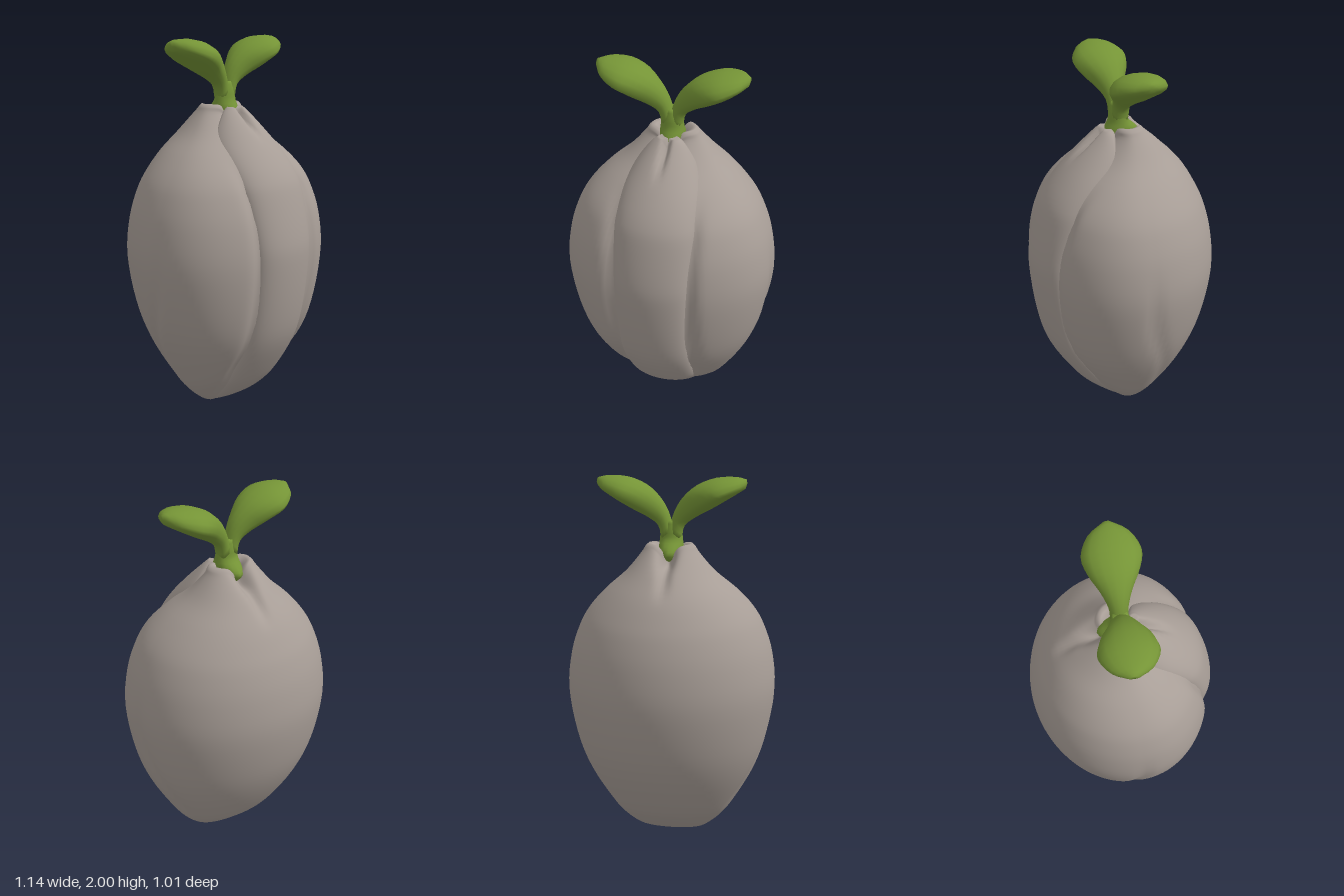
import * as THREE from 'three';

// Skin a list of closed rings; both ends are closed to their centre.
function loft(rings) {
  const n = rings[0].length, pos = [], idx = [];
  rings.forEach(r => r.forEach(p => pos.push(p.x, p.y, p.z)));
  for (let i = 0; i < rings.length - 1; i++) {
    for (let j = 0; j < n; j++) {
      const a = i * n + j, b = i * n + (j + 1) % n;
      idx.push(a, b, b + n, a, b + n, a + n);
    }
  }
  [0, rings.length - 1].forEach(i => {
    const c = new THREE.Vector3();
    rings[i].forEach(p => c.addScaledVector(p, 1 / n));
    const k = pos.length / 3;
    pos.push(c.x, c.y, c.z);
    for (let j = 0; j < n; j++) {
      const a = i * n + j, b = i * n + (j + 1) % n;
      if (i === 0) idx.push(k, b, a); else idx.push(k, a, b);
    }
  });
  const g = new THREE.BufferGeometry();
  g.setAttribute('position', new THREE.Float32BufferAttribute(pos, 3));
  g.setIndex(idx);
  g.computeVertexNormals();
  return g;
}

const ring = (n, f) => Array.from({ length: n }, (_, j) => f(j / n * Math.PI * 2));
const bump = (v, s) => Math.exp(-(v * v) / (s * s));
const ramp = (v, a, b) => THREE.MathUtils.smoothstep(v, a, b);

// Smooth a table of rows into steps + 1 rows; every column is splined alike.
function smoothRows(rows, steps) {
  const curves = rows[0].map((_, c) => new THREE.CatmullRomCurve3(
    rows.map(r => new THREE.Vector3(r[c], 0, 0)), false, 'catmullrom'));
  return Array.from({ length: steps + 1 }, (_, i) => curves.map(c => c.getPoint(i / steps).x));
}

// Two side petals, merged at the back: height, half width, front z, back z
const BODY = [
  [0, 0.14, 0.035, 0.0], [0.03, 0.2, 0.09, -0.07], [0.1, 0.28, 0.165, -0.155], [0.2, 0.355, 0.265, -0.25],
  [0.4, 0.465, 0.395, -0.375], [0.6, 0.532, 0.455, -0.455], [0.85, 0.57, 0.482, -0.5],
  [1.05, 0.55, 0.465, -0.488], [1.2, 0.502, 0.42, -0.45], [1.3, 0.445, 0.365, -0.405],
  [1.4, 0.355, 0.27, -0.345], [1.5, 0.242, 0.15, -0.26], [1.6, 0.158, 0.06, -0.165],
  [1.64, 0.132, 0.05, -0.125],
];

// Front petal: height, half width, centre z, front z
const PETAL = [
  [0.005, 0.13, 0.02, 0.04], [0.03, 0.16, 0.05, 0.11], [0.1, 0.18, 0.1, 0.21], [0.2, 0.19, 0.19, 0.3],
  [0.4, 0.195, 0.31, 0.42], [0.6, 0.195, 0.37, 0.475], [0.85, 0.2, 0.4, 0.503],
  [1.0, 0.205, 0.39, 0.495], [1.2, 0.215, 0.33, 0.45], [1.3, 0.215, 0.27, 0.41],
  [1.4, 0.205, 0.18, 0.34], [1.5, 0.165, 0.1, 0.25], [1.6, 0.095, 0.075, 0.145],
  [1.64, 0.05, 0.075, 0.105],
];

function bodyRing([y, w, f, b], scale = 1, drop = 0) {
  const c = THREE.MathUtils.lerp(0.015, -0.03, ramp(y, 1.3, 1.6));
  return ring(112, a => {
    const s = Math.sin(a), k = Math.cos(a);
    let x = w * s;
    let z = c + (k > 0 ? (f - c) * Math.pow(k, 0.87) : (c - b) * k);
    // grooves beside the front petal, a seam on each flank, a cleft at the back
    const low = ramp(y, 0.05, 0.3);
    if (k > 0) z -= 0.035 * low * (1 - ramp(y, 1.2, 1.45)) * bump(Math.abs(x) - 0.2, 0.045);
    x *= 1 - 0.025 * low * (1 - ramp(y, 0.75, 1.1)) * bump(z - 0.04 + 0.12 * (1 - ramp(y, 0.3, 0.8)), 0.035);
    const cleft = k < 0 ? ramp(y, 1.38, 1.62) * bump(x, 0.03) : 0;
    z *= 1 - 0.35 * cleft;
    const dip = ramp(y, 1.5, 1.64) * bump(x, 0.05) * 0.075;
    return new THREE.Vector3(x * scale, y - dip - drop, c + (z - c) * scale);
  });
}

function petalRing([y, w, c, f]) {
  return ring(48, a => {
    const x = w * Math.sin(a), k = Math.cos(a);
    const fold = ramp(y, 1.45, 1.64) * bump(x, 0.018);
    return new THREE.Vector3(x, y - 0.05 * fold, c + (k > 0 ? f - c : Math.min(0.04, f - c)) * k - 0.012 * fold);
  });
}

// Leaf sections: top x, y; edge x, y; underside x, y; half width
const LEAF = [
  [-0.015, 1.72, 0.02, 1.7, 0.056, 1.67, 0.045],
  [0.015, 1.815, 0.045, 1.78, 0.07, 1.74, 0.05],
  [0.06, 1.89, 0.105, 1.835, 0.125, 1.785, 0.08],
  [0.135, 1.955, 0.18, 1.885, 0.205, 1.828, 0.127],
  [0.235, 1.994, 0.26, 1.918, 0.29, 1.878, 0.146],
  [0.335, 2.0, 0.347, 1.95, 0.355, 1.918, 0.1],
  [0.393, 1.988, 0.395, 1.965, 0.388, 1.94, 0.022],
];

function leafRing([tx, ty, ex, ey, bx, by, h]) {
  return ring(16, a => {
    const s = Math.sin(a), up = s > 0, m = Math.abs(s);
    return new THREE.Vector3(ex + m * ((up ? tx : bx) - ex), ey + m * ((up ? ty : by) - ey), -h * Math.cos(a));
  });
}

// Stem with a flared foot: height, x radius, front z, back z
const STEM = [
  [1.54, 0.03, 0.04, -0.06], [1.59, 0.05, 0.08, -0.115], [1.625, 0.066, 0.078, -0.1], [1.67, 0.062, 0.056, -0.052],
  [1.72, 0.055, 0.05, -0.045], [1.77, 0.03, 0.038, -0.036],
];

export function createModel() {
  const shell = new THREE.MeshStandardMaterial({ color: 0xa89e97 });
  shell.name = 'warm grey';
  const green = new THREE.MeshStandardMaterial({ color: 0x759436 });
  green.name = 'leaf green';

  const model = new THREE.Group();
  model.name = 'sproutingBulb';
  const add = (name, geometry, material) => {
    const mesh = new THREE.Mesh(geometry, material);
    mesh.name = name;
    model.add(mesh);
    return mesh;
  };

  // Bulb with a rounded rim that closes in around the stem
  const rim = BODY[BODY.length - 1];
  const body = smoothRows(BODY, 52).map(r => bodyRing(r));
  body.push(bodyRing(rim, 0.88, -0.014), bodyRing(rim, 0.72, -0.008), bodyRing(rim, 0.55, 0.02), bodyRing(rim, 0.4, 0.07));
  add('sidePetals', loft(body), shell);
  add('frontPetal', loft(smoothRows(PETAL, 52).map(petalRing)), shell);

  // Sprout
  add('stem', loft(smoothRows(STEM, 15).map(([y, r, front, back]) => ring(16, a => {
    const k = Math.cos(a);
    return new THREE.Vector3(r * Math.sin(a), y, k > 0 ? front * k : -back * k);
  }))), green);
  const leaf = loft(smoothRows(LEAF, 18).map(leafRing));
  add('leftLeaf', leaf, green);
  add('rightLeaf', leaf, green).rotation.y = Math.PI;

  return model;
}
